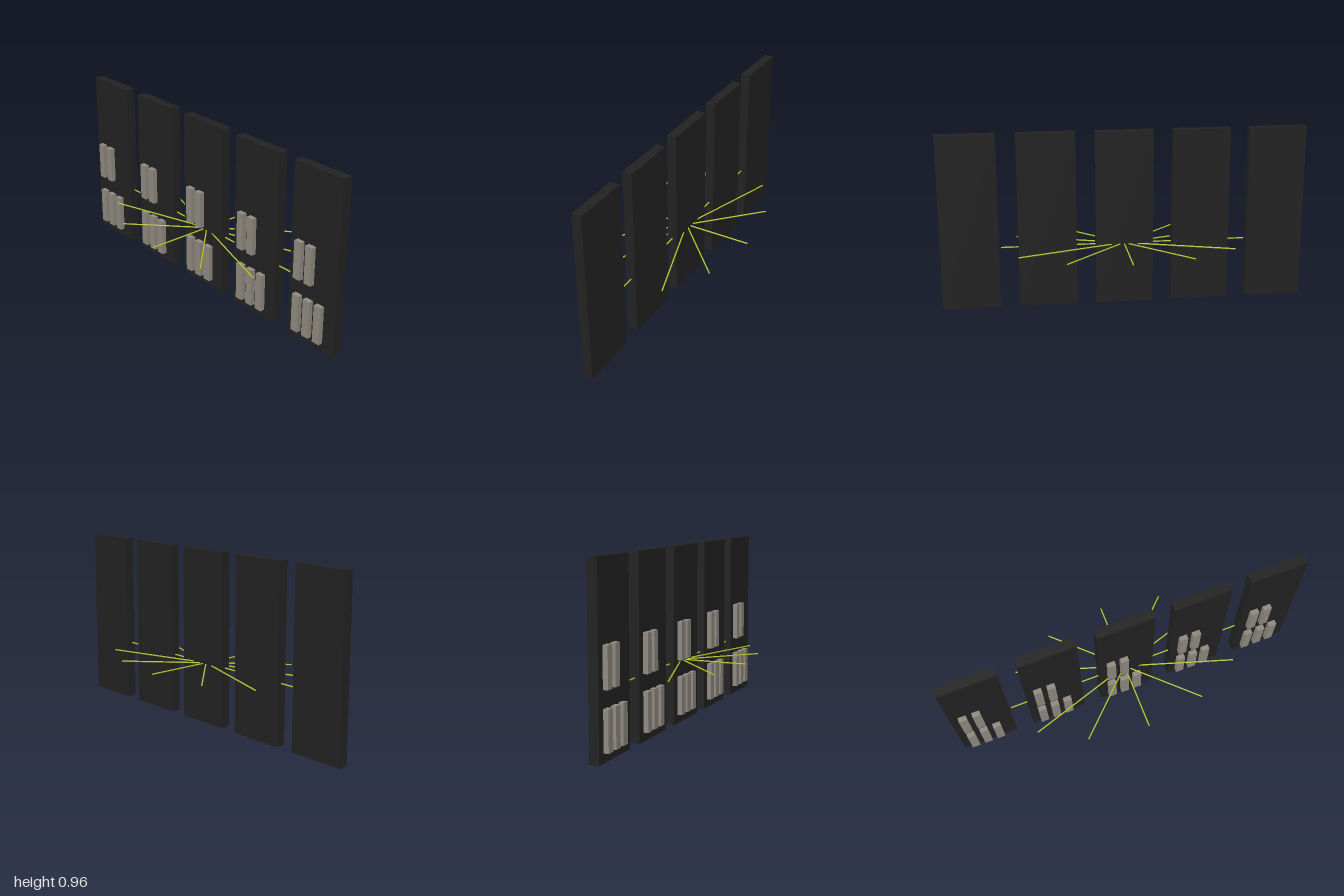
import * as THREE from 'three';

const mat = (name, color) => {
  const m = new THREE.MeshStandardMaterial({ color });
  m.name = name;
  return m;
};

export function createModel() {
  const model = new THREE.Group();
  const charcoal = mat('charcoal', 0x222222);
  const stone = mat('warm grey', 0x8f8a80);
  const lime = mat('lime', 0xb5c42a);

  const add = (parent, name, geometry, material, x, y, z) => {
    const mesh = new THREE.Mesh(geometry, material);
    mesh.name = name;
    mesh.position.set(x, y, z);
    parent.add(mesh);
    return mesh;
  };

  // Five upright panels, each with two blocks above three
  const panelGeo = new THREE.BoxGeometry(0.316, 0.963, 0.053);
  const blockGeo = new THREE.BoxGeometry(0.045, 0.21, 0.027);
  for (let i = -2; i <= 2; i++) {
    const bay = new THREE.Group();
    bay.name = 'bay';
    bay.position.x = i * 0.421;
    add(bay, 'panel', panelGeo, charcoal, 0, 0.4815, 0);
    [[3, 0.153], [2, 0.453]].forEach(([count, y]) => {
      for (let c = 0; c < count; c++) {
        add(bay, 'block', blockGeo, stone, -0.0915 + c * 0.0755, y, 0.04);
      }
    });
    model.add(bay);
  }

  // Twelve thin rods radiating from the centre to an ellipse
  const rays = new THREE.Group();
  rays.name = 'rays';
  rays.position.y = 0.333;
  const up = new THREE.Vector3(0, 1, 0);
  for (let i = 0; i < 12; i++) {
    const a = (i * Math.PI) / 6;
    const tip = new THREE.Vector3(0.674 * Math.cos(a), 0, 0.375 * Math.sin(a));
    const length = tip.length();
    const rod = add(rays, 'ray', new THREE.CylinderGeometry(0.004, 0.004, length, 8), lime, tip.x / 2, 0, tip.z / 2);
    rod.quaternion.setFromUnitVectors(up, tip.normalize());
  }
  model.add(rays);

  return model;
}
